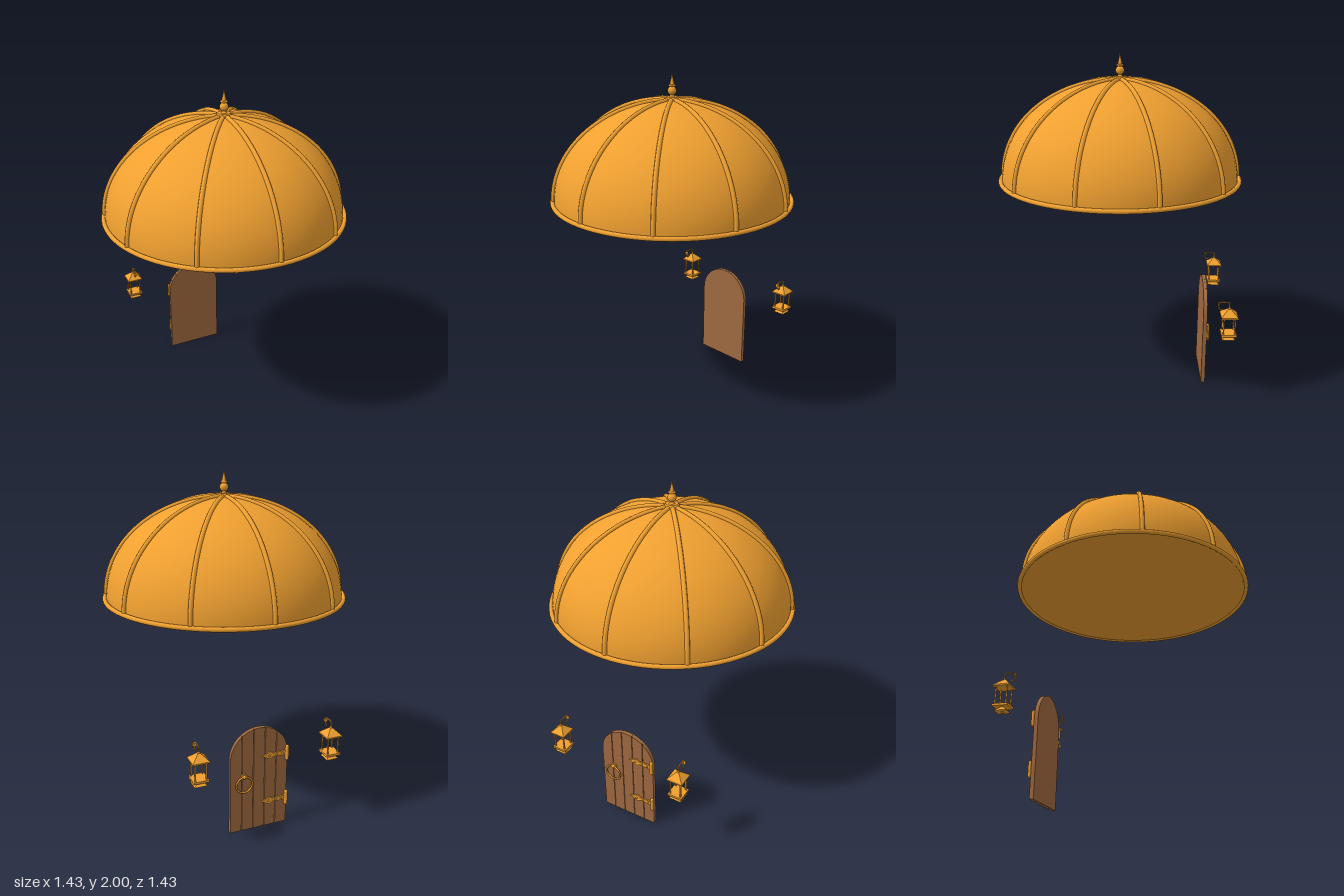
import * as THREE from 'three';

const gold = new THREE.MeshStandardMaterial({ color: 0xf0a030 });
const wood = new THREE.MeshStandardMaterial({ color: 0xa06a40 });
const V = (x, y, z) => new THREE.Vector3(x, y, z);

function add(parent, name, geometry, x = 0, y = 0, z = 0, material = gold) {
  const mesh = new THREE.Mesh(geometry, material);
  mesh.name = name;
  mesh.position.set(x, y, z);
  parent.add(mesh);
  return mesh;
}

function group(parent, name) {
  const g = new THREE.Group();
  g.name = name;
  parent.add(g);
  return g;
}

// Square frustum with sharp faces, sized by half-widths
function squareTaper(top, bottom, height) {
  const s = Math.SQRT2;
  const g = new THREE.CylinderGeometry(top * s, bottom * s, height, 4).rotateY(Math.PI / 4).toNonIndexed();
  g.computeVertexNormals();
  return g;
}

function ellipse(a, b, y, from, to, n) {
  return Array.from({ length: n + 1 }, (_, i) => {
    const t = from + (to - from) * i / n;
    return new THREE.Vector2(Math.max(0, a * Math.cos(t)), y + b * Math.sin(t));
  });
}

function buildDome(parent) {
  const dome = group(parent, 'dome');
  const baseY = 1.275;
  add(dome, 'domeShell', new THREE.LatheGeometry(ellipse(0.69, 0.575, baseY, 0, Math.PI / 2, 32), 80));
  add(dome, 'domeUnderside', new THREE.CircleGeometry(0.7, 80).rotateX(Math.PI / 2), 0, baseY, 0);
  add(dome, 'rim', new THREE.TorusGeometry(0.7, 0.013, 10, 80).rotateX(Math.PI / 2), 0, 1.28, 0);

  // Ten ribs running from the rim to the crown
  const path = new THREE.CatmullRomCurve3(
    ellipse(0.694, 0.577, baseY, 0, 1.51, 20).map(p => V(0, p.y, p.x)));
  const rib = new THREE.TubeGeometry(path, 40, 0.013, 8);
  for (let i = 0; i < 10; i++) add(dome, 'rib', rib).rotation.y = i * Math.PI / 5;

  // Crown collar and finial
  add(dome, 'collar', new THREE.CylinderGeometry(0.035, 0.048, 0.018, 32), 0, 1.858, 0);
  const profile = [[0.024, 1.862], [0.012, 1.872], [0.012, 1.88]].map(p => new THREE.Vector2(...p));
  add(dome, 'finialNeck', new THREE.LatheGeometry(profile, 20));
  add(dome, 'finialBall', new THREE.SphereGeometry(0.025, 20, 14), 0, 1.9, 0);
  add(dome, 'finialRing', new THREE.TorusGeometry(0.015, 0.006, 8, 20).rotateX(Math.PI / 2), 0, 1.929, 0);
  add(dome, 'finialSpike', new THREE.ConeGeometry(0.014, 0.07, 16), 0, 1.965, 0);
}

const HALF = 0.176, SPRING = 0.464;
const archY = x => SPRING + Math.sqrt(Math.max(0, HALF * HALF - x * x));

// Vertical strip of the arched door between two x positions
function archStrip(x0, x1, depth, n) {
  const s = new THREE.Shape();
  s.moveTo(x0, 0);
  s.lineTo(x1, 0);
  for (let i = 0; i <= n; i++) {
    const t = 0.5 - 0.5 * Math.cos(Math.PI * i / n);
    const x = x1 + (x0 - x1) * t;
    s.lineTo(x, archY(x));
  }
  return new THREE.ExtrudeGeometry(s, { depth, bevelEnabled: false });
}

function buildDoor(parent) {
  const door = group(parent, 'door');
  add(door, 'doorBacking', archStrip(-HALF, HALF, 0.014, 32), 0, 0, -0.524, wood);

  // Five planks with narrow grooves between them
  const step = 2 * HALF / 5;
  for (let i = 0; i < 5; i++) {
    const x = -HALF + i * step;
    add(door, 'plank', archStrip(x + (i ? 0.002 : 0), x + step - (i < 4 ? 0.002 : 0), 0.012, 14), 0, 0, -0.534, wood);
  }

  // Strap hinges with a spear-shaped end
  const strap = new THREE.Shape();
  [[-0.172, -0.016], [-0.085, -0.01], [-0.068, -0.024], [-0.015, 0], [-0.068, 0.024], [-0.085, 0.01], [-0.172, 0.016]]
    .forEach(([x, y], i) => i ? strap.lineTo(x, y) : strap.moveTo(x, y));
  const strapGeo = new THREE.ExtrudeGeometry(strap, { depth: 0.007, bevelEnabled: false });
  for (const y of [0.165, 0.458]) {
    const hinge = group(door, 'hinge');
    hinge.position.set(0, y, -0.534);
    add(hinge, 'hingeStrap', strapGeo, 0, 0, -0.007);
    add(hinge, 'hingeBarrel', new THREE.CylinderGeometry(0.011, 0.011, 0.074, 14), -0.17, 0, -0.008);
    for (const s of [-1, 1]) add(hinge, 'hingeCap', new THREE.SphereGeometry(0.011, 12, 8), -0.17, s * 0.037, -0.008);
    for (const x of [-0.14, -0.105, -0.06])
      add(hinge, 'rivet', new THREE.SphereGeometry(0.006, 10, 8), x, 0, -0.008);
  }

  // Ring handle on a round plate
  const handle = group(door, 'ringHandle');
  handle.position.set(0.097, 0.355, -0.534);
  add(handle, 'handlePlate', new THREE.CylinderGeometry(0.018, 0.018, 0.008, 20).rotateX(Math.PI / 2), 0, 0, -0.004);
  add(handle, 'handleKnob', new THREE.SphereGeometry(0.011, 14, 10), 0, 0, -0.013);
  add(handle, 'handleRing', new THREE.TorusGeometry(0.049, 0.0055, 10, 36), 0, -0.046, -0.016);
}

function buildLantern(parent, x) {
  const lantern = group(parent, x > 0 ? 'leftLantern' : 'rightLantern');
  lantern.position.set(x, 0, -0.63);

  // Roof
  add(lantern, 'eave', new THREE.BoxGeometry(0.096, 0.008, 0.096), 0, 0.57, 0);
  add(lantern, 'roof', squareTaper(0.008, 0.048, 0.038), 0, 0.593, 0);
  add(lantern, 'roofKnob', new THREE.SphereGeometry(0.008, 12, 8), 0, 0.614, 0);

  // Open cage
  for (const sx of [-1, 1]) for (const sz of [-1, 1])
    add(lantern, 'cagePost', new THREE.BoxGeometry(0.007, 0.106, 0.007), sx * 0.032, 0.516, sz * 0.032);
  add(lantern, 'basePlate', new THREE.BoxGeometry(0.088, 0.013, 0.088), 0, 0.459, 0);

  // Flared foot
  add(lantern, 'foot', squareTaper(0.01, 0.037, 0.024), 0, 0.441, 0);
  add(lantern, 'footTip', new THREE.SphereGeometry(0.008, 12, 8), 0, 0.427, 0);

  // Hook and wall bracket
  const hook = [V(0, 0.612, 0), V(0, 0.645, 0), V(0, 0.649, 0.006), V(0, 0.649, 0.056), V(0, 0.645, 0.06),
    V(0, 0.616, 0.06), V(0, 0.606, 0.053), V(0, 0.604, 0.045), V(0, 0.612, 0.038)];
  add(lantern, 'hook', new THREE.TubeGeometry(new THREE.CatmullRomCurve3(hook, false, 'centripetal'), 50, 0.004, 8));
  add(lantern, 'hookPlate', new THREE.CylinderGeometry(0.014, 0.014, 0.005, 16).rotateX(Math.PI / 2), 0, 0.633, 0.061);
}

export function createModel() {
  const model = new THREE.Group();
  model.name = 'domeRoofWithDoorAndLanterns';
  buildDome(model);
  buildDoor(model);
  for (const x of [-0.398, 0.398]) buildLantern(model, x);
  return model;
}
